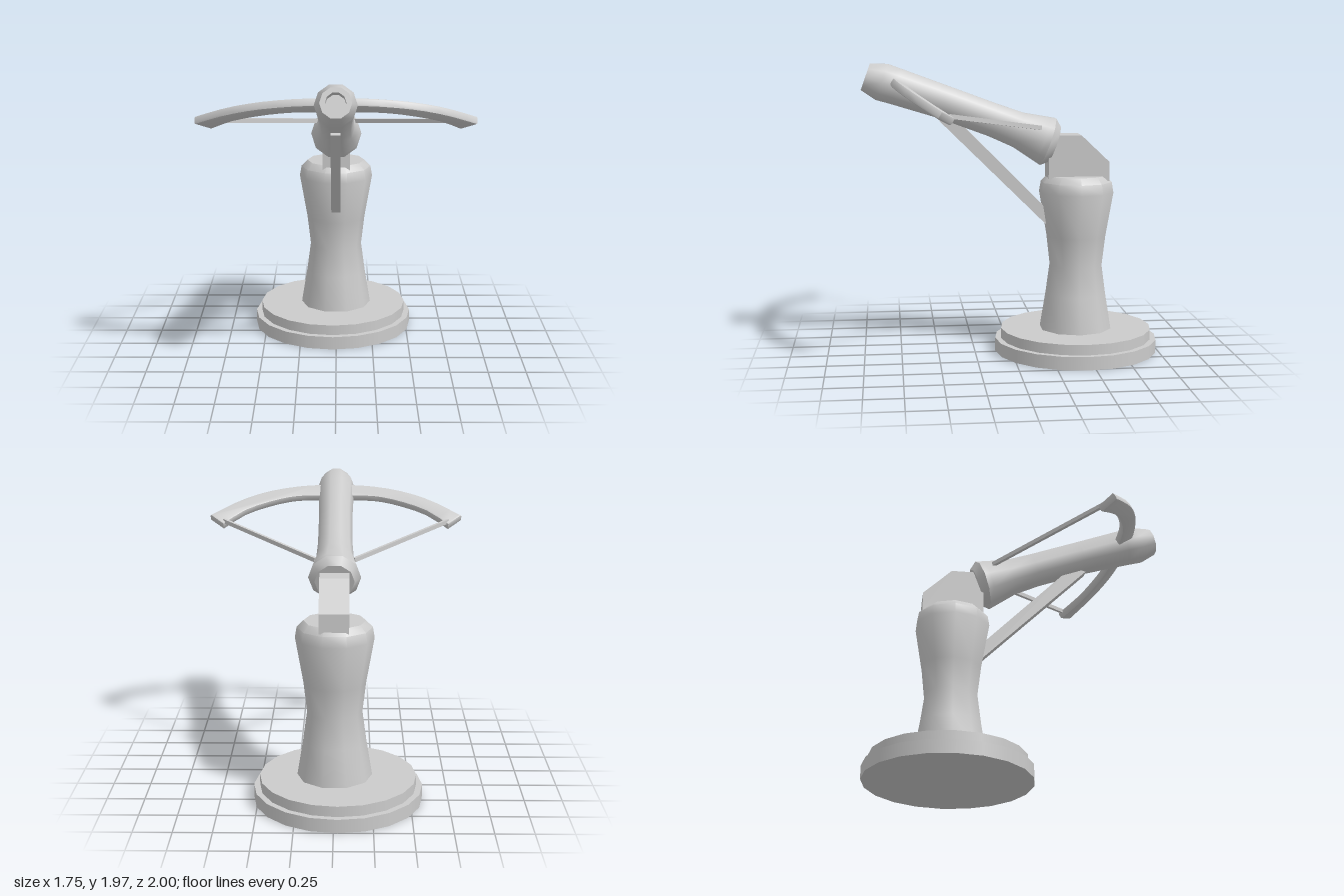
import * as THREE from 'three';
import { toCreasedNormals } from 'three/addons/utils/BufferGeometryUtils.js';

const material = new THREE.MeshStandardMaterial({ color: 0xcccccc });
const vecs = (list) => list.map(([x, y]) => new THREE.Vector2(x, y));

function add(parent, name, geometry, x = 0, y = 0, z = 0) {
  const mesh = new THREE.Mesh(geometry, material);
  mesh.name = name;
  mesh.position.set(x, y, z);
  parent.add(mesh);
  return mesh;
}

// ten-sided turned part with a corner on each side
const turned = (profile) => new THREE.LatheGeometry(vecs(profile), 10, Math.PI / 2);

// side profile given as [z, y], extruded across x
function sidePlate(profile, width) {
  const shape = new THREE.Shape(vecs(profile.map(([z, y]) => [-z, y])));
  const geo = new THREE.ExtrudeGeometry(shape, { depth: width, bevelEnabled: false });
  return geo.translate(0, 0, -width / 2).rotateY(Math.PI / 2);
}

// square bar between two points
function bar(parent, name, from, to, width, height) {
  const mesh = add(parent, name, new THREE.BoxGeometry(width, height, from.distanceTo(to)));
  mesh.position.copy(from).lerp(to, 0.5);
  mesh.lookAt(to);
  return mesh;
}

export function createModel() {
  const model = new THREE.Group();
  model.name = 'mountedCrossbow';

  // stepped round base
  add(model, 'baseLower', new THREE.CylinderGeometry(0.555, 0.555, 0.09, 20), -0.025, 0.045, -0.445);
  add(model, 'baseUpper', new THREE.CylinderGeometry(0.515, 0.515, 0.07, 20), -0.025, 0.125, -0.445);

  // waisted column
  const column = turned([
    [0, 0.15], [0.248, 0.15], [0.207, 0.4], [0.18, 0.6], [0.203, 0.8],
    [0.255, 1.1], [0.243, 1.17], [0.2, 1.213], [0, 1.213],
  ]);
  add(model, 'column', toCreasedNormals(column, 0.8), -0.003, 0, -0.44);

  // pivot block with sloped back
  add(model, 'pivotBlock', sidePlate(
    [[-0.24, 1.18], [-0.24, 1.49], [-0.46, 1.49], [-0.65, 1.31], [-0.65, 1.18]], 0.19));

  // barrel with bored muzzle, slightly arched along its length
  const barrel = turned([
    [0, -0.04], [0.13, -0.04], [0.172, 0.01], [0.163, 0.05], [0.125, 0.22], [0.116, 0.4],
    [0.116, 0.75], [0.126, 1.08], [0.13, 1.18], [0.096, 1.292], [0.063, 1.292], [0.063, 1.18], [0, 1.18],
  ]);
  const pos = barrel.attributes.position;
  for (let i = 0; i < pos.count; i++) {
    pos.setZ(i, pos.getZ(i) - 0.016 * Math.sin((Math.PI * pos.getY(i)) / 1.29));
  }
  const barrelMesh = add(model, 'barrel', toCreasedNormals(barrel, 0.8), 0, 1.44, -0.25);
  barrelMesh.rotation.x = Math.PI / 2 - 0.348;

  // curved bow lying in a tilted plane
  const tilt = THREE.MathUtils.degToRad(31);
  const flat = ([x, z]) => [x, (z - 0.74) / Math.cos(tilt)];
  const outer = [[0, 0.79], [0.22, 0.78], [0.45, 0.735], [0.66, 0.65], [0.865, 0.515]].map(flat);
  const inner = [[0.78, 0.445], [0.64, 0.563], [0.48, 0.637], [0.33, 0.683], [0.2, 0.698], [0, 0.7]].map(flat);
  const half = [
    ...new THREE.SplineCurve(vecs(outer)).getPoints(10),
    ...new THREE.SplineCurve(vecs(inner)).getPoints(10),
  ];
  const mirrored = half.slice(1, -1).reverse().map((p) => new THREE.Vector2(-p.x, p.y));
  const bow = new THREE.ExtrudeGeometry(new THREE.Shape([...half, ...mirrored]), {
    depth: 0.03, bevelThickness: 0.012, bevelSize: 0.012, bevelOffset: -0.004, bevelSegments: 2,
  });
  bow.translate(0, 0, -0.015).rotateX(Math.PI / 2 - tilt);
  add(model, 'bow', toCreasedNormals(bow, 0.6), 0, 1.822, 0.74);

  // bowstring, one half each side
  for (const s of [1, -1]) {
    bar(model, s > 0 ? 'bowstringLeft' : 'bowstringRight',
      new THREE.Vector3(s * 0.125, 1.545, -0.18), new THREE.Vector3(s * 0.78, 1.675, 0.465), 0.022, 0.028);
  }

  // diagonal brace from column to barrel
  add(model, 'brace', sidePlate(
    [[-0.24, 0.875], [-0.24, 0.985], [0.38, 1.61], [0.48, 1.585]], 0.064), -0.003);

  return model;
}
